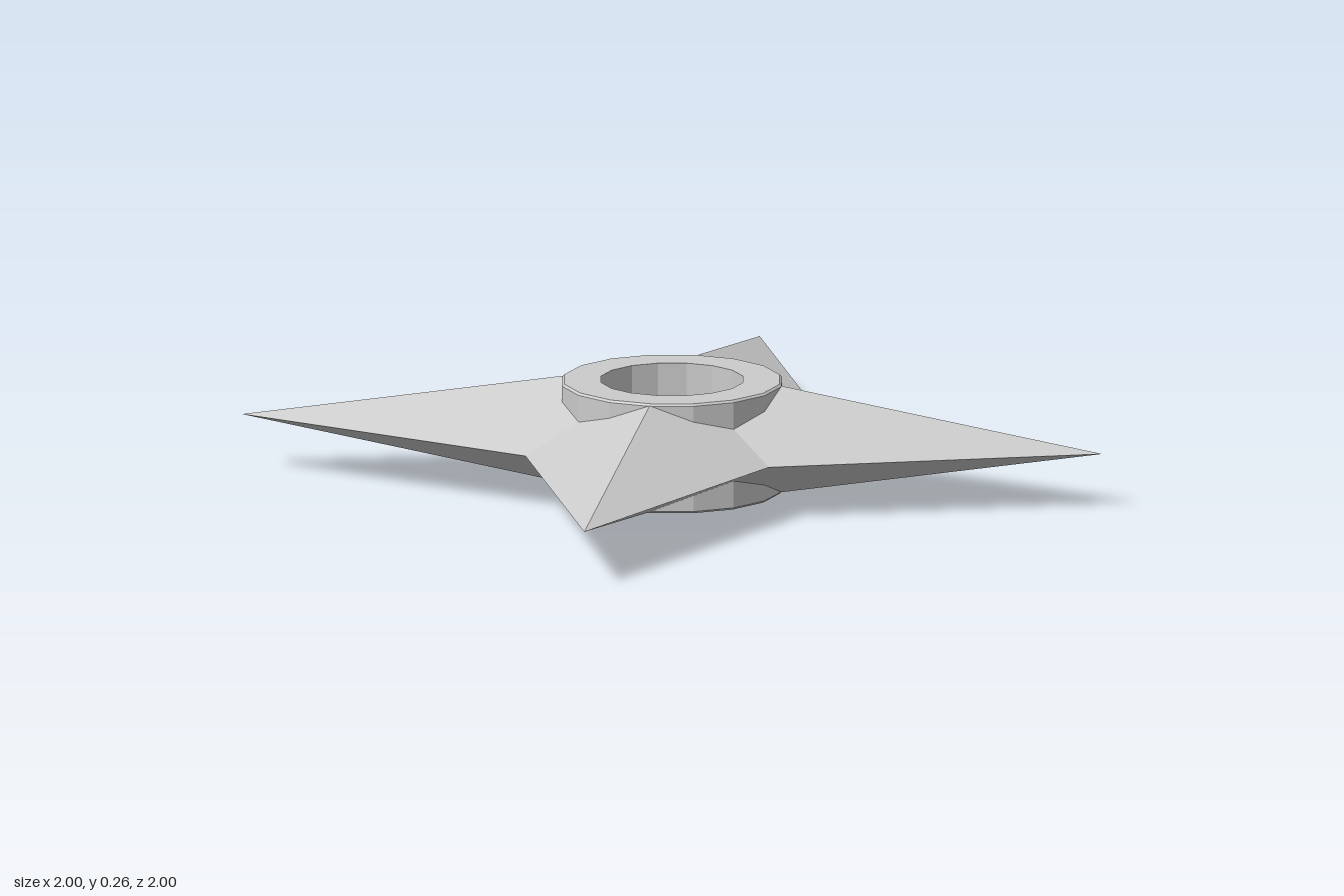
import * as THREE from 'three';

const MID = 0.128;   // height of the cutting edge
const NOTCH = 0.283; // x and z of the corner between two blades

// Height of a blade facet above the cutting plane
const SLOPE = 1 / 6;
const FALL = SLOPE * (1 - NOTCH) / NOTCH;
const facetHeight = (x, z) => SLOPE * (1 - x) - FALL * z;

// One four-sided blade along +x, its root buried in the ring
function bladeGeometry() {
  const outline = [[1, 0], [0.24, 0], [0.17, 0.17], [NOTCH, NOTCH]]; // tip, ridge, valley, notch
  const positions = [];
  for (const sy of [1, -1]) {
    for (const sz of [1, -1]) {
      const p = outline.map(([x, z]) => [x, sy * facetHeight(x, z), sz * z]);
      if (sy * sz < 0) p.reverse();
      for (const i of [0, 1, 2, 0, 2, 3]) positions.push(...p[i]);
    }
  }
  const geometry = new THREE.BufferGeometry();
  geometry.setAttribute('position', new THREE.Float32BufferAttribute(positions, 3));
  geometry.computeVertexNormals();
  return geometry;
}

export function createModel() {
  const group = new THREE.Group();
  group.name = 'throwingStar';
  const material = new THREE.MeshStandardMaterial({ color: 0xcccccc, flatShading: true });

  // Four blades
  const blade = bladeGeometry();
  for (let i = 0; i < 4; i++) {
    const mesh = new THREE.Mesh(blade, material);
    mesh.name = 'blade' + (i + 1);
    mesh.position.y = MID;
    mesh.rotation.y = i * Math.PI / 2;
    group.add(mesh);
  }

  // Sixteen-sided centre ring with a fine outer chamfer
  const top = 2 * MID;
  const profile = [
    [0.165, 0], [0.25, 0], [0.255, 0.005], [0.255, top - 0.005],
    [0.25, top], [0.165, top], [0.165, 0],
  ].map(([r, y]) => new THREE.Vector2(r, y));
  const ring = new THREE.Mesh(new THREE.LatheGeometry(profile, 16), material);
  ring.name = 'centreRing';
  group.add(ring);

  return group;
}
